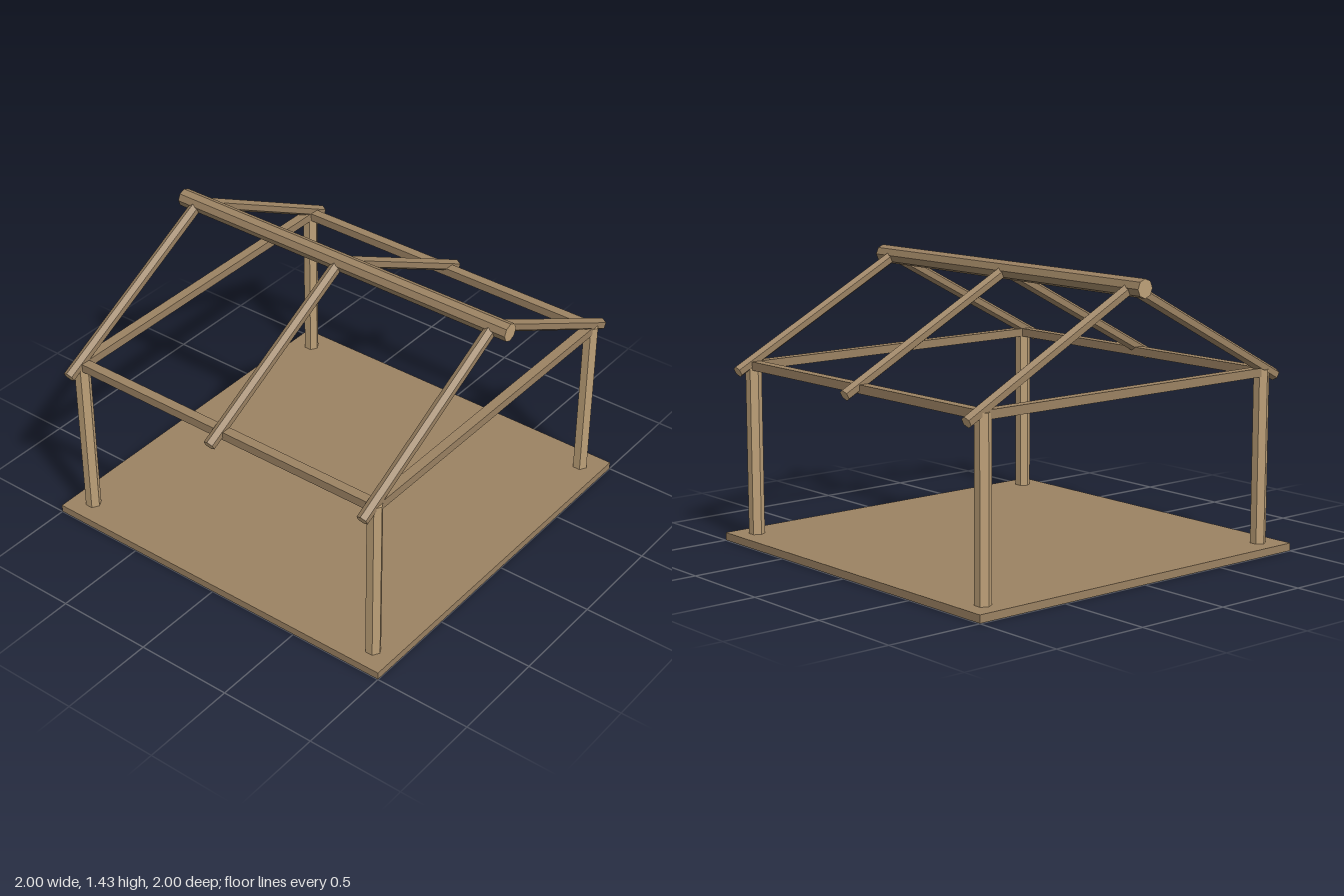
import * as THREE from 'three';

export function createModel() {
  const model = new THREE.Group();
  const material = (name, color) => {
    const m = new THREE.MeshStandardMaterial({ color });
    m.name = name;
    m.flatShading = true;
    return m;
  };
  const wood = material('wood', 0x9b8262);
  const paleWood = material('paleWood', 0xbda078);
  const log = [wood, paleWood, paleWood]; // sides, then the two cut ends

  const add = (name, geometry, mat, x, y, z) => {
    const mesh = new THREE.Mesh(geometry, mat);
    mesh.name = name;
    mesh.position.set(x, y, z);
    model.add(mesh);
    return mesh;
  };

  const inset = 0.887; // post centre lines

  // Floor slab, a hair above the post feet that show through it
  add('floor', new THREE.BoxGeometry(2, 0.039, 2), wood, 0, 0.0205, 0);

  // Six-sided corner posts
  const postHeight = 0.91;
  const postGeometry = new THREE.CylinderGeometry(0.04, 0.04, postHeight, 6);
  for (const x of [-inset, inset]) {
    for (const z of [-inset, inset]) {
      add('cornerPost', postGeometry, paleWood, x, postHeight / 2, z);
    }
  }

  // Square tie beams joining the post tops
  for (const s of [-1, 1]) {
    add('crossBeam', new THREE.BoxGeometry(inset * 2, 0.043, 0.05), wood, 0, 0.898, s * inset);
    add('sideBeam', new THREE.BoxGeometry(0.05, 0.043, inset * 2), wood, s * inset, 0.898, 0);
  }

  // Eight-sided ridge pole
  const ridgeY = 1.385;
  const ridge = new THREE.CylinderGeometry(0.046, 0.046, 1.96, 8).rotateX(Math.PI / 2);
  add('ridgePole', ridge, log, 0, ridgeY, 0);

  // Three pairs of six-sided rafters sloping down from the ridge
  const run = 0.98;
  const drop = 0.512;
  const rafterGeometry = new THREE.CylinderGeometry(0.03, 0.03, Math.hypot(run, drop), 6)
    .rotateY(Math.PI / 2);
  for (const z of [-inset, 0, inset]) {
    for (const s of [-1, 1]) {
      const rafter = add('rafter', rafterGeometry, log, s * run / 2, ridgeY - drop / 2, z);
      rafter.rotation.z = s * Math.atan2(run, drop);
    }
  }

  return model;
}
